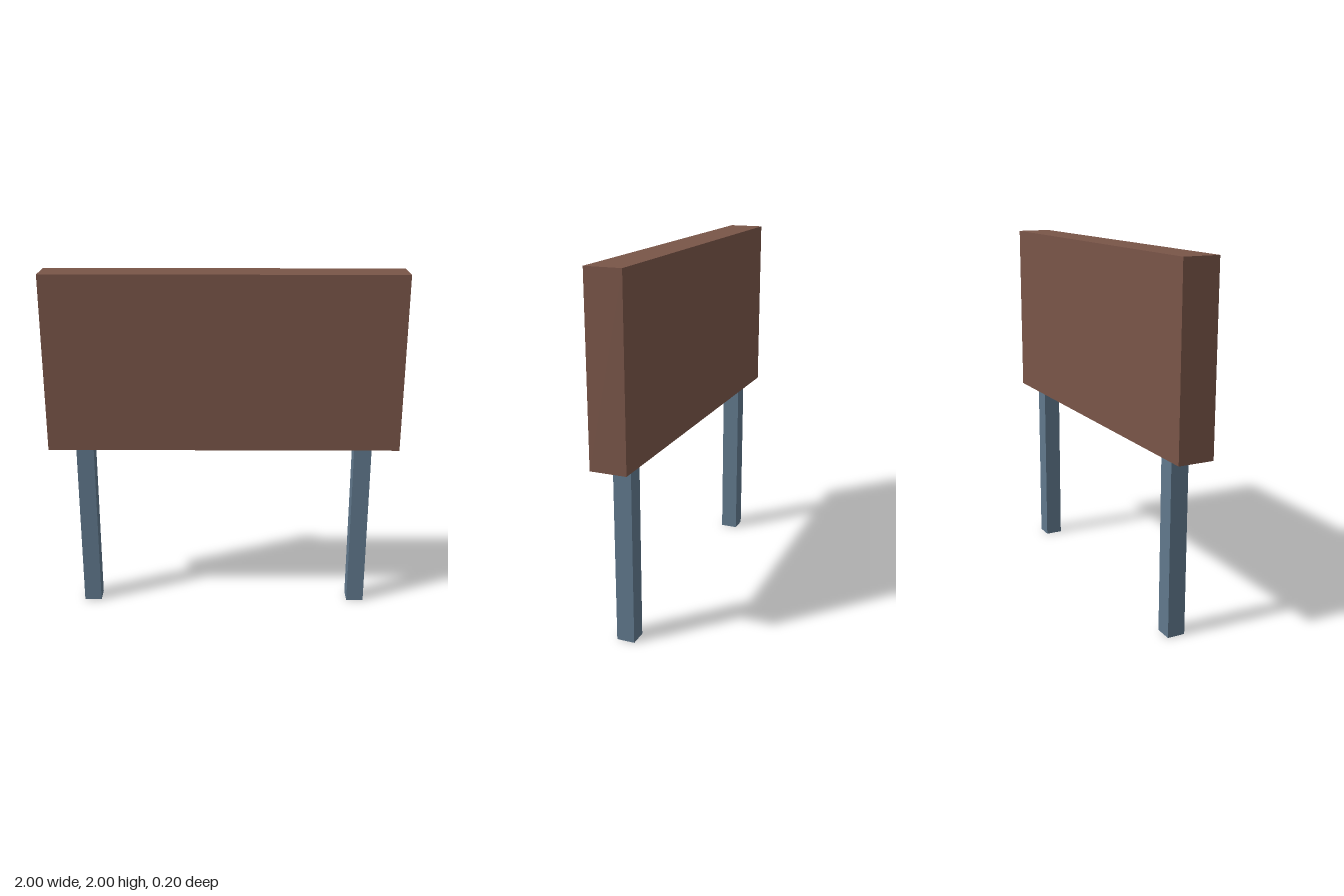
import * as THREE from 'three';

export function createModel() {
  const group = new THREE.Group();
  group.name = 'signboard';

  const brown = new THREE.MeshStandardMaterial({ color: 0x795548 });
  brown.name = 'brown board';
  const blueGrey = new THREE.MeshStandardMaterial({ color: 0x60788c });
  blueGrey.name = 'blue grey post';

  // Box standing on the given base height
  function addBox(name, material, [w, h, d], x, base) {
    const mesh = new THREE.Mesh(new THREE.BoxGeometry(w, h, d), material);
    mesh.name = name;
    mesh.position.set(x, base + h / 2, 0);
    group.add(mesh);
  }

  // Thick panel
  addBox('board', brown, [2, 1, 0.2], 0, 1);

  // Square posts, mirrored
  for (const side of [-1, 1]) {
    addBox(side > 0 ? 'leftPost' : 'rightPost', blueGrey, [0.1, 1, 0.1], side * 0.8, 0);
  }

  return group;
}
